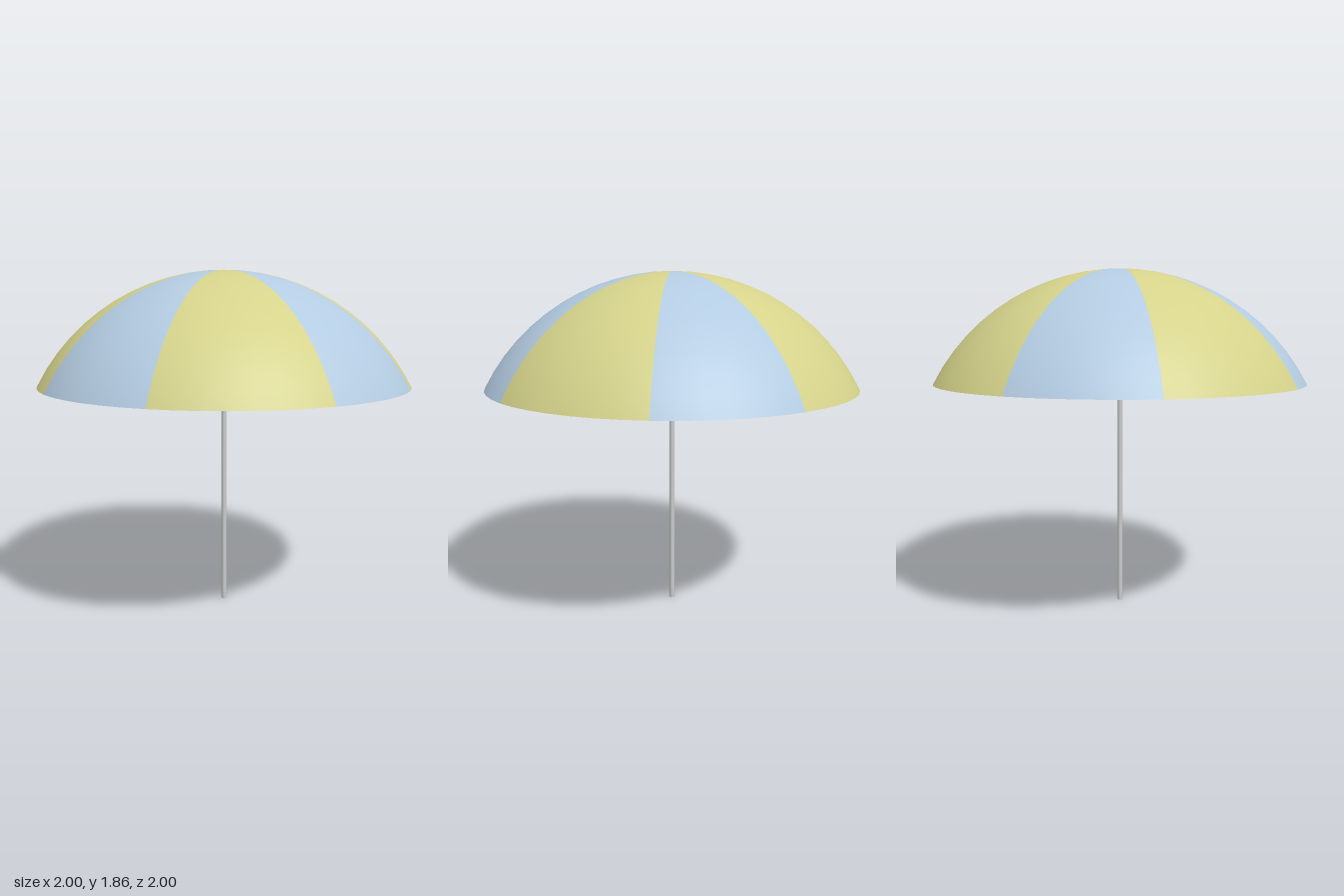
import * as THREE from 'three';

const RIM_Y = 1.255, TOP_Y = 1.86, RIM_RADIUS = 1;
const SEGMENTS = 52; // facets around the rim: four repeats of 7 yellow + 6 blue

export function createModel() {
  const model = new THREE.Group();
  model.name = 'parasol';

  const yellow = new THREE.MeshStandardMaterial({ color: 0xd4d28a, side: THREE.DoubleSide });
  const blue = new THREE.MeshStandardMaterial({ color: 0xb3cbe1, side: THREE.DoubleSide });
  const grey = new THREE.MeshStandardMaterial({ color: 0xcccccc });

  // Canopy: a thin spherical cap divided into eight coloured panels
  const height = TOP_Y - RIM_Y;
  const radius = (RIM_RADIUS ** 2 + height ** 2) / (2 * height);
  const capAngle = Math.asin(RIM_RADIUS / radius);
  const step = (Math.PI * 2) / SEGMENTS;

  const canopy = new THREE.Group();
  canopy.name = 'canopy';
  canopy.position.y = TOP_Y - radius;
  let start = -1; // first seam lies one facet to the right of the front
  for (let i = 0; i < 8; i++) {
    const count = i % 2 ? 6 : 7;
    const panel = new THREE.Mesh(
      new THREE.SphereGeometry(radius, count, 12, Math.PI / 2 + start * step, count * step, 0, capAngle),
      i % 2 ? blue : yellow
    );
    panel.name = `canopyPanel${i + 1}`;
    canopy.add(panel);
    start += count;
  }
  model.add(canopy);

  // Pole: runs from the ground to just under the crown
  const poleHeight = TOP_Y - 0.005;
  const pole = new THREE.Mesh(new THREE.CylinderGeometry(0.014, 0.014, poleHeight, 16), grey);
  pole.name = 'pole';
  pole.position.y = poleHeight / 2;
  model.add(pole);

  return model;
}
